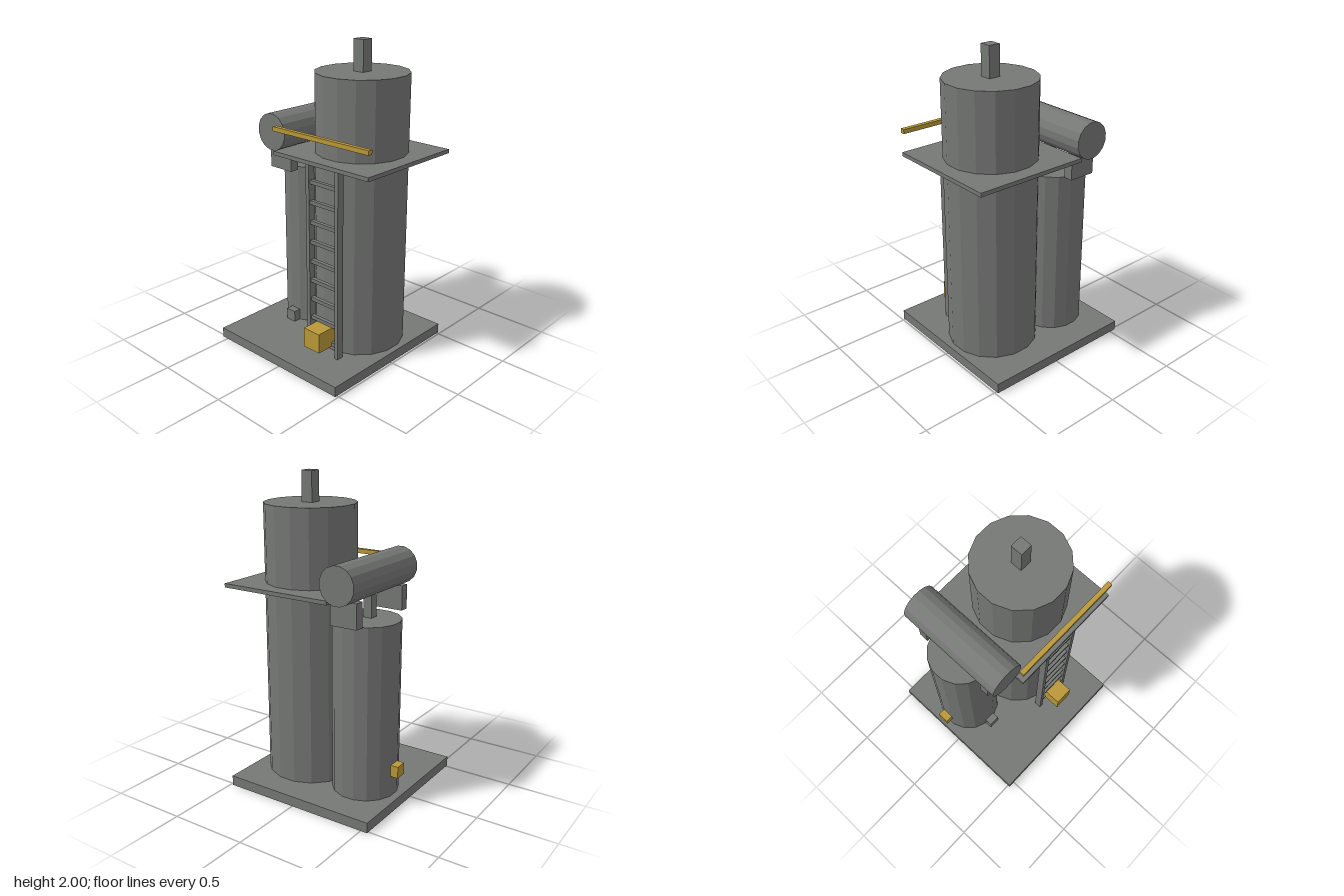
import * as THREE from 'three';

export function createModel() {
  const model = new THREE.Group();
  model.name = 'processTower';

  const steel = new THREE.MeshStandardMaterial({ color: 0x767876 });
  steel.name = 'steelGrey';
  steel.flatShading = true;
  const yellow = new THREE.MeshStandardMaterial({ color: 0xb99838 });
  yellow.name = 'safetyYellow';
  yellow.flatShading = true;

  // Box given by its limits on each axis
  function box(name, [x0, x1], [y0, y1], [z0, z1], material = steel) {
    const mesh = new THREE.Mesh(new THREE.BoxGeometry(x1 - x0, y1 - y0, z1 - z0), material);
    mesh.position.set((x0 + x1) / 2, (y0 + y1) / 2, (z0 + z1) / 2);
    mesh.name = name;
    model.add(mesh);
    return mesh;
  }

  // Sixteen-sided drum whose flats face the axes; apothem is its half width
  const SIDES = 16;
  function drum(name, apothem, length) {
    const r = apothem / Math.cos(Math.PI / SIDES);
    const geometry = new THREE.CylinderGeometry(r, r, length, SIDES);
    geometry.rotateY(Math.PI / SIDES);
    const mesh = new THREE.Mesh(geometry, steel);
    mesh.name = name;
    model.add(mesh);
    return mesh;
  }

  const FLOOR = 0.065;
  box('basePlate', [-0.545, 0.485], [0, FLOOR], [-0.515, 0.515]);

  // Tall column with its vent
  drum('mainColumn', 0.283, 1.745).position.set(0.163, FLOOR + 0.8725, -0.067);
  box('topVent', [0.125, 0.201], [1.81, 2], [-0.105, -0.029]);

  // Side tank and its fittings
  drum('sideTank', 0.205, 1.1).position.set(-0.29, FLOOR + 0.55, -0.13);
  box('tankDrain', [-0.327, -0.253], [FLOOR, 0.14], [0.07, 0.125]);
  box('tankValve', [-0.545, -0.49], [0.2, 0.275], [-0.17, -0.093], yellow);

  // Horizontal drum on two saddles and a riser
  const condenser = drum('horizontalDrum', 0.115, 0.712);
  condenser.rotation.x = Math.PI / 2;
  condenser.position.set(-0.29, 1.42, -0.099);
  for (const z of [-0.355, 0.153]) {
    box('drumSaddle', [-0.38, -0.2], [1.165, 1.32], [z - 0.03, z + 0.03]);
  }
  box('riserPipe', [-0.318, -0.262], [1.165, 1.33], [-0.128, -0.072]);

  // Service platform and hand rail
  box('platform', [-0.216, 0.542], [1.3, 1.325], [-0.447, 0.313]);
  box('handRail', [-0.216, 0.542], [1.45, 1.478], [0.283, 0.313], yellow);

  // Ladder
  for (const x of [0.043, 0.278]) {
    box('ladderStile', [x - 0.013, x + 0.013], [FLOOR, 1.3], [0.237, 0.285]);
  }
  for (let i = 0; i < 9; i++) {
    const y = 0.147 + i * 0.129;
    box('ladderRung', [0.056, 0.265], [y - 0.012, y + 0.012], [0.248, 0.274]);
  }

  // Control box at the foot of the ladder
  box('controlBox', [0.1, 0.228], [0.13, 0.26], [0.21, 0.386], yellow);

  return model;
}
